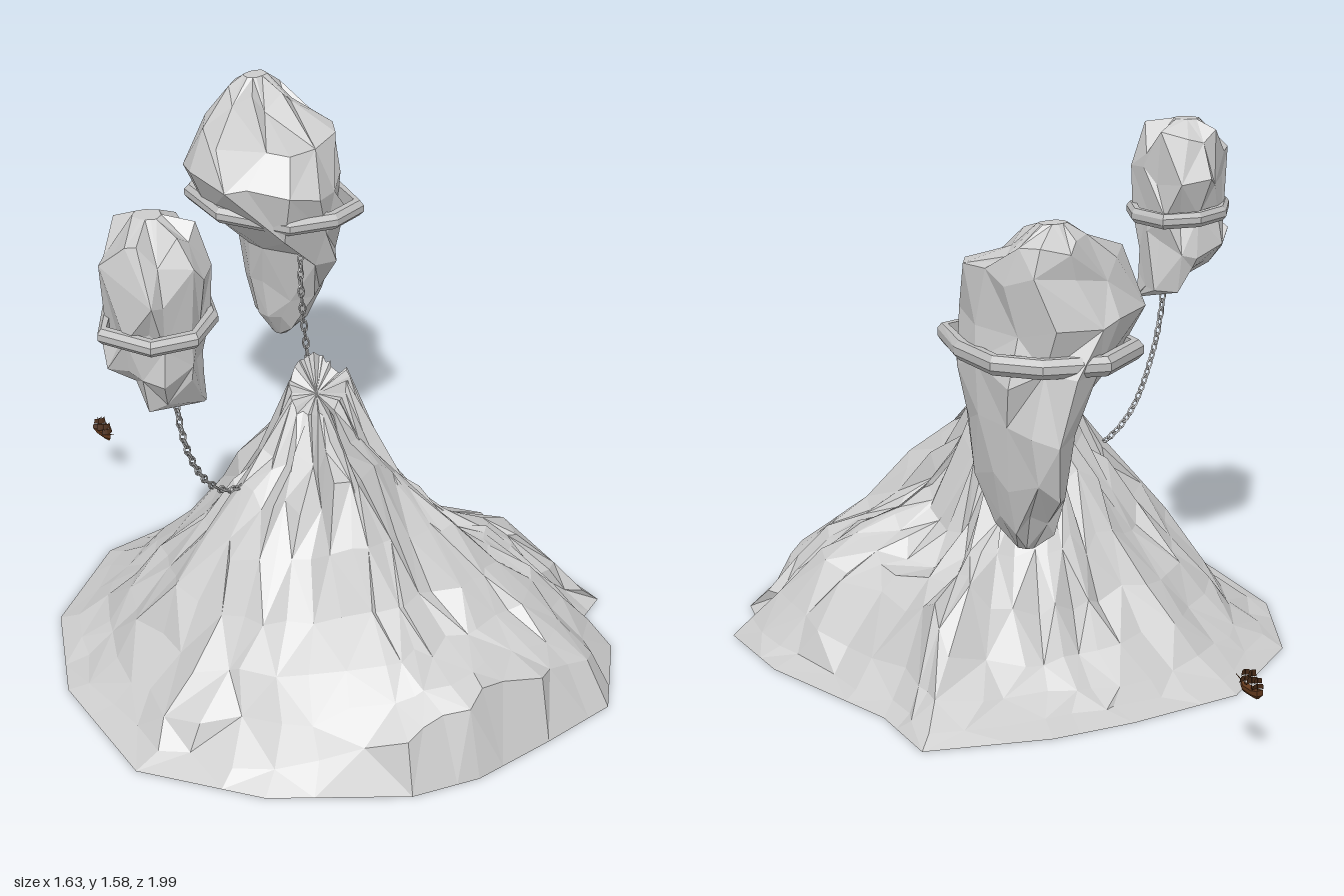
import * as THREE from 'three';
import { mergeGeometries } from 'three/addons/utils/BufferGeometryUtils.js';

const mat = (name, color) => {
  const m = new THREE.MeshStandardMaterial({ color, flatShading: true, side: THREE.DoubleSide });
  m.name = name;
  return m;
};

function seeded(seed) {
  return () => {
    seed = (seed * 16807) % 2147483647;
    return seed / 2147483647;
  };
}

// Skin a stack of equal-length closed rings, listed from top to bottom
function loft(rings, closed = false) {
  const pos = [], n = rings[0].length;
  const tri = (...p) => {
    if (new THREE.Triangle(...p).getArea() > 1e-9) p.forEach(v => pos.push(v.x, v.y, v.z));
  };
  const last = closed ? rings.length : rings.length - 1;
  for (let i = 0; i < last; i++) {
    const top = rings[i], low = rings[(i + 1) % rings.length];
    for (let j = 0; j < n; j++) {
      const k = (j + 1) % n;
      if ((i + j) % 2) {
        tri(top[j], top[k], low[j]);
        tri(top[k], low[k], low[j]);
      } else {
        tri(top[j], top[k], low[k]);
        tri(top[j], low[k], low[j]);
      }
    }
  }
  const g = new THREE.BufferGeometry();
  g.setAttribute('position', new THREE.Float32BufferAttribute(pos, 3));
  g.computeVertexNormals();
  return g;
}

// Hollow mountain: an outline at the foot drawn in towards the summit
function mountainGeometry() {
  const rnd = seeded(71), cx = 0.02, cz = 0.13;
  const outline = [[0.815, 0.28], [0.815, 0.59], [0.71, 0.63], [0.67, 0.79], [0.45, 0.99], [0.2, 0.995],
    [-0.07, 0.99], [-0.27, 0.93], [-0.6, 0.68], [-0.82, 0.36], [-0.77, -0.07], [-0.59, -0.39],
    [-0.26, -0.6], [0.1, -0.6], [0.35, -0.57], [0.7, -0.45], [0.69, -0.2]];
  const f = [0, 0.1, 0.2, 0.32, 0.45, 0.58, 0.7, 0.82, 0.92, 1];
  const rough = [0, 0.025, 0.055, 0.055, 0.045, 0.03, 0.02, 0.012, 0.005, 0];
  // Slope profiles in eight directions, from +x round through +z
  const slopes = [
    [0.84, 0.88, 0.6, 0.36, 0.28, 0.3, 0.25, 0.09, 0.02, 0],
    [0.84, 0.92, 0.66, 0.52, 0.43, 0.36, 0.29, 0.18, 0.07, 0],
    [0.84, 0.82, 0.75, 0.72, 0.55, 0.38, 0.29, 0.26, 0.24, 0],
    [0.84, 0.82, 0.71, 0.62, 0.5, 0.37, 0.26, 0.15, 0.05, 0],
    [0.84, 0.82, 0.69, 0.59, 0.48, 0.33, 0.19, 0.08, 0.02, 0],
    [0.84, 0.88, 0.66, 0.52, 0.38, 0.27, 0.17, 0.08, 0.03, 0],
    [0.84, 0.92, 0.74, 0.58, 0.4, 0.25, 0.14, 0.06, 0.02, 0],
    [0.84, 0.93, 0.73, 0.54, 0.4, 0.26, 0.14, 0.08, 0.03, 0]];
  const foot = [];
  outline.forEach((p, i) => {
    const q = outline[(i + 1) % outline.length];
    for (let s = 0; s < 3; s++) {
      const t = s / 3;
      foot.push([p[0] + (q[0] - p[0]) * t, p[1] + (q[1] - p[1]) * t]);
    }
  });
  const gully = foot.map(() => rnd() * 2 - 1);
  return loft(f.map((t, i) => foot.map(([fx, fz], j) => {
    const a = (Math.atan2(fz - cz, fx - cx) / (Math.PI / 4) + 8) % 8, k = Math.floor(a);
    const shift = () => (i && t < 1 ? (rnd() - 0.5) * (t < 0.15 ? 0.015 : 0.05) : 0);
    const x = cx + (fx - cx) * t + shift(), z = cz + (fz - cz) * t + shift();
    const knoll = 0.16 * Math.exp(-((x - 0.46) ** 2 + (z + 0.16) ** 2) / 0.008);
    const noise = rough[i] * (gully[j] * 0.5 + (rnd() * 2 - 1) * 0.6);
    const h = THREE.MathUtils.lerp(slopes[k][i], slopes[(k + 1) % 8][i], a - k);
    return new THREE.Vector3(x, Math.max(0, h + knoll + noise), z);
  })));
}

// Craggy boulder from sections [y, x, z, radius x, radius z]
function rockGeometry(sections, seed, jag, lift) {
  const rnd = seeded(seed), n = 13;
  const rings = sections.map(([y, x, z, rx, rz], i) => Array.from({ length: n }, (_, j) => {
    const a = (j + (rnd() - 0.5) * 0.7) / n * Math.PI * 2, r = 1.08 - rnd() * jag;
    const end = i === 0 || i === sections.length - 1;
    return new THREE.Vector3(x + Math.cos(a) * rx * r, y + (end ? 0 : (rnd() - 0.5) * lift), z + Math.sin(a) * rz * r);
  }));
  const tip = s => Array(n).fill(new THREE.Vector3(s[1], s[0], s[2]));
  return loft([tip(sections[0]), ...rings, tip(sections[sections.length - 1])]);
}

// Faceted collar following an outline around a boulder
function bandGeometry(outline, y, h, w) {
  const cx = outline.reduce((s, p) => s + p[0], 0) / outline.length;
  const cz = outline.reduce((s, p) => s + p[1], 0) / outline.length;
  const profile = [[-w, h * 0.5], [-w * 0.4, h * 0.5], [0, h * 0.2], [0, -h * 0.2], [-w * 0.4, -h * 0.5], [-w, -h * 0.5]];
  return loft(profile.map(([d, dy]) => outline.map(([x, z]) => {
    const k = 1 + d / Math.hypot(x - cx, z - cz);
    return new THREE.Vector3(cx + (x - cx) * k, y + dy, cz + (z - cz) * k);
  })), true);
}

// Interlocking links, each turned a quarter from the one before
function chainGeometry(points) {
  const curve = new THREE.CatmullRomCurve3(points.map(p => new THREE.Vector3(...p)));
  const n = Math.round(curve.getLength() / 0.027), links = [], side = new THREE.Vector3(1, 0, 0);
  for (let i = 0; i <= n; i++) {
    const link = new THREE.TorusGeometry(0.0095, 0.0035, 4, 8);
    link.scale(1.75, 1, 1).rotateX(i % 2 ? Math.PI / 2 : 0);
    link.applyQuaternion(new THREE.Quaternion().setFromUnitVectors(side, curve.getTangentAt(i / n)));
    const p = curve.getPointAt(i / n);
    links.push(link.translate(p.x, p.y, p.z));
  }
  return mergeGeometries(links);
}

export function createModel() {
  const model = new THREE.Group();
  const stone = mat('stone', 0xcccccc), collar = mat('collar grey', 0xc0c0c0), iron = mat('chain iron', 0xb0b0b0);
  const wood = mat('brown wood', 0x62381c), cloth = mat('dark sailcloth', 0x4c2e1a);
  const add = (name, geometry, material, parent = model) => {
    const m = new THREE.Mesh(geometry, material);
    m.name = name;
    parent.add(m);
    return m;
  };

  add('mountain', mountainGeometry(), stone);

  // Floating boulders
  add('smallFloatingRock', rockGeometry([
    [1.58, -0.54, 0.11, 0.04, 0.04], [1.52, -0.545, 0.13, 0.125, 0.12], [1.43, -0.555, 0.15, 0.155, 0.17],
    [1.29, -0.55, 0.145, 0.14, 0.14], [1.19, -0.55, 0.14, 0.145, 0.135], [1.1, -0.53, 0.14, 0.125, 0.12],
    [1.02, -0.445, 0.19, 0.02, 0.02]], 17, 0.3, 0.1), stone);
  add('largeFloatingRock', rockGeometry([
    [1.49, 0.42, -0.68, 0.04, 0.03], [1.43, 0.42, -0.66, 0.11, 0.1], [1.36, 0.375, -0.57, 0.2, 0.215],
    [1.23, 0.345, -0.54, 0.235, 0.265], [1.1, 0.39, -0.54, 0.195, 0.265], [0.95, 0.45, -0.555, 0.115, 0.245],
    [0.8, 0.455, -0.585, 0.1, 0.185], [0.68, 0.445, -0.59, 0.075, 0.105], [0.6, 0.45, -0.59, 0.025, 0.03]], 29, 0.2, 0.07), stone);

  // Collars
  add('smallRockBand', bandGeometry([[-0.36, 0.13], [-0.42, 0.25], [-0.54, 0.325], [-0.67, 0.29], [-0.735, 0.14],
    [-0.63, 0.01], [-0.5, -0.04], [-0.38, -0.01]], 1.29, 0.045, 0.03), collar);
  add('largeRockBand', bandGeometry([[0.6, -0.48], [0.54, -0.28], [0.41, -0.25], [0.26, -0.3], [0.14, -0.52],
    [0.17, -0.73], [0.34, -0.835], [0.51, -0.78], [0.6, -0.67]], 1.135, 0.052, 0.035), collar);

  // Chains to the mountain
  add('smallRockChain', chainGeometry([[-0.515, 1.12, 0.17], [-0.5, 0.95, 0.17], [-0.46, 0.82, 0.16],
    [-0.38, 0.69, 0.13], [-0.3, 0.62, 0.11], [-0.2, 0.585, 0.08]]), iron);
  add('largeRockChain', chainGeometry([[0.35, 1.1, -0.36], [0.34, 0.9, -0.345], [0.31, 0.79, -0.29],
    [0.26, 0.69, -0.2], [0.22, 0.67, -0.13], [0.17, 0.7, -0.05], [0.12, 0.77, 0.02]]), iron);

  // Tiny flying ship, bow towards +z
  const ship = new THREE.Group();
  ship.name = 'ship';
  ship.position.set(-0.04, 0.19, -0.95);
  model.add(ship);
  const plan = [[0, 0.042], [0.01, 0.02], [0.013, -0.02], [0.01, -0.045], [-0.01, -0.045], [-0.013, -0.02], [-0.01, 0.02]].reverse();
  const deck = (y, k, lift) => plan.map(([x, z]) => new THREE.Vector3(x * k, y + lift * Math.abs(z) / 0.045, z * (0.7 + 0.3 * k)));
  const mid = y => plan.map(() => new THREE.Vector3(0, y, 0));
  add('hull', loft([mid(0.016), deck(0.016, 1, 0.012), deck(0.008, 1, 0.004), deck(0, 0.35, 0), mid(0)]), wood, ship);
  const bowsprit = add('bowsprit', new THREE.CylinderGeometry(0.001, 0.0015, 0.03, 5), wood, ship);
  bowsprit.position.set(0, 0.032, 0.05);
  bowsprit.rotation.x = 1.2;
  [[0.022, 0.066], [-0.008, 0.076], [-0.034, 0.06]].forEach(([z, top]) => {
    add('mast', new THREE.CylinderGeometry(0.001, 0.0016, top - 0.01, 5), wood, ship).position.set(0, (top + 0.01) / 2, z);
    // Billowing square sails, the lower one wider
    [[0.5, 0.024], [0.8, 0.017]].forEach(([k, r]) => {
      const sail = add('sail', new THREE.CylinderGeometry(r * 0.8, r, top * 0.27, 5, 1, true, -1.05, 2.1), cloth, ship);
      sail.position.set(0, top * k + 0.002, z - r * 0.5);
    });
  });
  return model;
}
